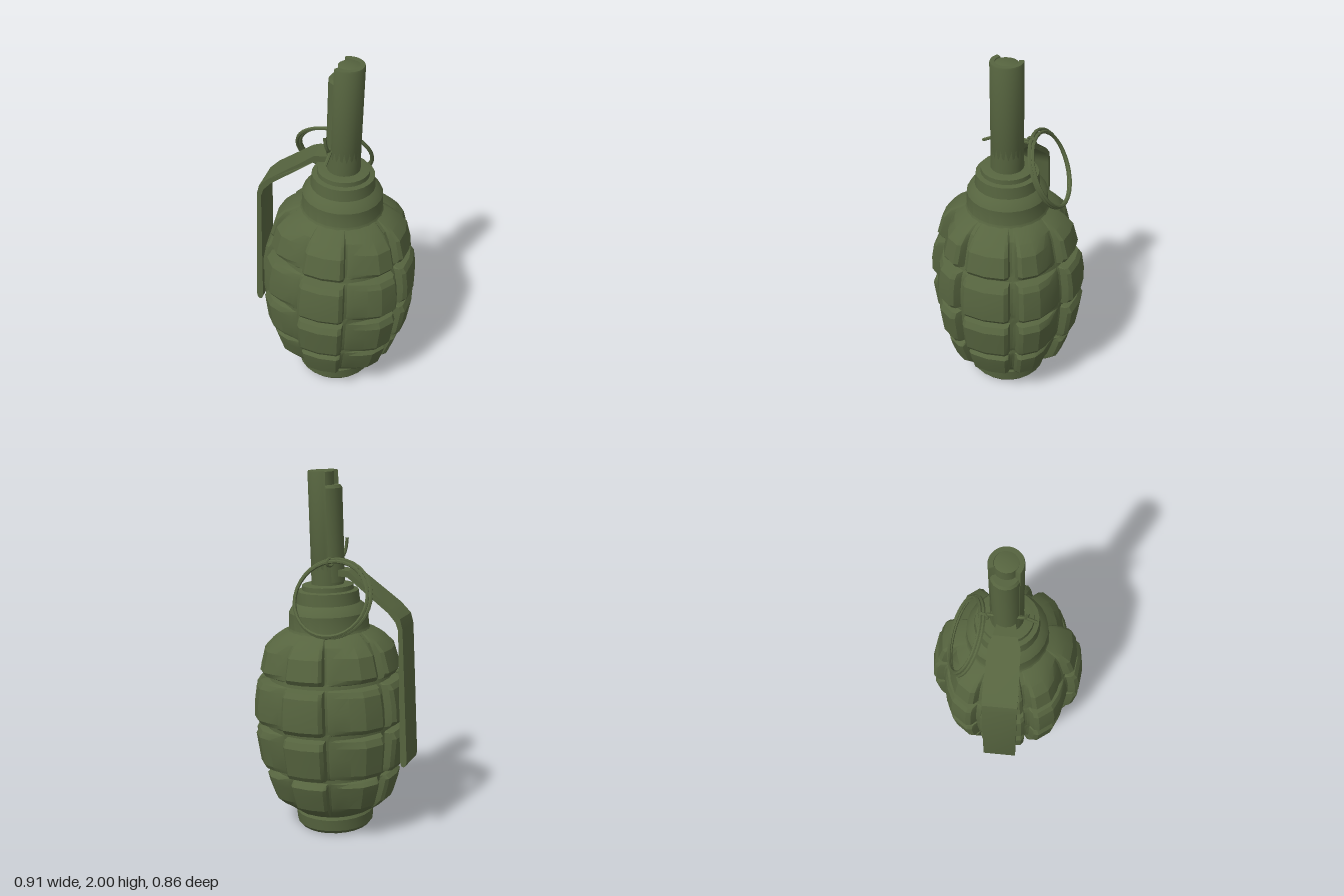
import * as THREE from 'three';
import { toCreasedNormals } from 'three/addons/utils/BufferGeometryUtils.js';

const V3 = (x, y, z) => new THREE.Vector3(x, y, z);
const rad = THREE.MathUtils.degToRad;

// Segmented shell: each row is [height, block radius, groove radius]
function shellGeometry() {
  const rows = [
    [0.1, 0.21, 0.21], [0.12, 0.25, 0.235], [0.155, 0.3, 0.265], [0.19, 0.338, 0.285],
    [0.28, 0.367, 0.315], [0.325, 0.377, 0.33], [0.345, 0.355, 0.335],
    [0.352, 0.335, 0.335], [0.372, 0.335, 0.335],
    [0.38, 0.395, 0.345], [0.405, 0.41, 0.355], [0.5, 0.422, 0.365], [0.565, 0.43, 0.37], [0.6, 0.412, 0.37],
    [0.61, 0.372, 0.372], [0.632, 0.372, 0.372],
    [0.64, 0.415, 0.37], [0.665, 0.433, 0.375], [0.75, 0.43, 0.372], [0.84, 0.415, 0.36], [0.868, 0.395, 0.35],
    [0.876, 0.345, 0.345], [0.896, 0.34, 0.34],
    [0.905, 0.375, 0.335], [0.93, 0.39, 0.33], [1.04, 0.36, 0.305], [1.09, 0.312, 0.283],
    [1.12, 0.265, 0.25], [1.14, 0.222, 0.222]
  ];
  // groove directions in degrees
  const grooves = [0, 47, 90, 137, 180, 230, 270, 315, 360];
  // block cross-sections: a full block, and one that slopes down into its first groove
  const full = [[0, 0], [0.05, 0.05], [0.09, 0.75], [0.16, 1], [0.5, 1], [0.84, 1], [0.91, 0.75], [0.95, 0.05]];
  const ramp = [[0, 0], [0.04, 0.08], [0.12, 0.2], [0.34, 0.6], [0.56, 1], [0.84, 1], [0.91, 0.75], [0.95, 0.05]];
  const mirror = s => [[0, 0], ...s.slice(1).reverse().map(([t, h]) => [1 - t, h])];
  const rampEnd = mirror(ramp);
  const sections = [rampEnd, full, ramp, full, rampEnd, full, ramp, full];
  const columns = [];
  sections.forEach((section, g) => {
    for (const [t, h] of section) columns.push([rad(THREE.MathUtils.lerp(grooves[g], grooves[g + 1], t)), h]);
  });
  const position = [], index = [], n = columns.length;
  rows.forEach(([y, outer, deep], i) => {
    columns.forEach(([a, h], j) => {
      const r = deep + (outer - deep) * h;
      position.push(r * Math.cos(a), y, r * Math.sin(a));
      if (i === rows.length - 1) return;
      const p = i * n + j, q = i * n + (j + 1) % n;
      index.push(p, p + n, q, q, p + n, q + n);
    });
  });
  const geo = new THREE.BufferGeometry();
  geo.setAttribute('position', new THREE.Float32BufferAttribute(position, 3));
  geo.setIndex(index);
  return geo;
}

export function createModel() {
  const model = new THREE.Group();
  model.name = 'grenadeProp';
  const olive = new THREE.MeshStandardMaterial({ color: 0x56643f });
  olive.name = 'olive green';

  const add = (parent, name, geo, crease = 0.5) => {
    const mesh = new THREE.Mesh(toCreasedNormals(geo, crease), olive);
    mesh.name = name;
    parent.add(mesh);
    return mesh;
  };
  const lathe = (pts, seg = 24) => new THREE.LatheGeometry(pts.map(p => new THREE.Vector2(...p)), seg);
  const wire = (pts, r, closed = false, seg = 12) =>
    new THREE.TubeGeometry(new THREE.CatmullRomCurve3(pts, closed), seg, r, 6, closed);

  // Body leans very slightly off vertical
  const body = new THREE.Group();
  body.name = 'body';
  body.position.set(0.007, 0.006, 0.012);
  body.rotation.set(-0.02, 0, -0.025);
  model.add(body);

  add(body, 'segmentedShell', shellGeometry(), 0.35);
  add(body, 'basePlug', lathe([[0, 0], [0.2, 0], [0.216, 0.02], [0.222, 0.085], [0.205, 0.11], [0, 0.11]]));
  add(body, 'neckCollar', lathe([
    [0.25, 1.1], [0.228, 1.135], [0.22, 1.15], [0.218, 1.235], [0.2, 1.265], [0.175, 1.285],
    [0.168, 1.35], [0.142, 1.355], [0.14, 1.38], [0.12, 1.385], [0, 1.385]
  ]));

  // Fuse tube with an open slot on the lever side
  add(body, 'fuseTubeBase', new THREE.CylinderGeometry(0.087, 0.09, 0.16, 20).translate(0, 1.44, 0));
  const arc = new THREE.Shape();
  const from = rad(-105), to = rad(135);
  arc.absarc(0, 0, 0.084, from, to, false);
  arc.absarc(0, 0, 0.06, to, from, true);
  arc.closePath();
  const sleeve = new THREE.ExtrudeGeometry(arc, {
    depth: 0.56, curveSegments: 16, bevelEnabled: true, bevelSize: 0.003, bevelThickness: 0.008, bevelSegments: 1
  });
  sleeve.rotateX(-Math.PI / 2).translate(0, 1.424, 0);
  add(body, 'fuseSleeve', sleeve);
  add(body, 'sleeveCap', lathe([[0.064, 1.9], [0.064, 1.985], [0.05, 1.991], [0, 1.991]], 16).translate(0.012, 0, -0.004));
  add(body, 'strikerRod', lathe([[0.075, 1.4], [0.075, 1.9], [0.065, 1.915], [0, 1.915]], 16)
    .translate(-0.022, 0, 0.006));

  // Safety lever: bent strip, narrowed where it meets the tube
  const top = [[0.06, 1.475], [0.14, 1.475], [0.19, 1.445], [0.39, 1.3], [0.445, 1.245], [0.46, 1.19],
    [0.497, 0.46], [0.492, 0.435], [0.482, 0.425]];
  const under = [[0.468, 0.428], [0.46, 0.45], [0.436, 1.18], [0.42, 1.225], [0.378, 1.272], [0.185, 1.412],
    [0.135, 1.44], [0.06, 1.44]];
  const strip = new THREE.Shape([...top, ...under].map(p => new THREE.Vector2(...p)));
  const leverGeo = new THREE.ExtrudeGeometry(strip, { depth: 0.185, bevelEnabled: false }).translate(0, 0, -0.0925);
  const pos = leverGeo.attributes.position;
  for (let i = 0; i < pos.count; i++) {
    const w = THREE.MathUtils.clamp(0.5 + (pos.getX(i) - 0.1) * 4.5, 0.5, 1);
    pos.setZ(i, pos.getZ(i) * w);
  }
  const lever = add(model, 'safetyLever', leverGeo);
  lever.position.set(0.04, 0, -0.012);
  lever.rotation.y = rad(-159.5);

  // Pull ring: two close loops of wire, tilted behind the neck
  const u = V3(-0.936, 0, 0.351).normalize();
  const v = V3(-0.14, -0.89, -0.4).normalize();
  [0.213, 0.203].forEach((r, k) => {
    const pts = [];
    for (let i = 0; i < 20; i++) {
      const a = i / 20 * Math.PI * 2;
      pts.push(V3(-0.132, 1.35, -0.164 - k * 0.014)
        .addScaledVector(u, r * Math.cos(a)).addScaledVector(v, r * Math.sin(a)));
    }
    add(model, 'pullRing', wire(pts, 0.01, true, 32), 0.9);
  });

  // Split pin through the tube, with an eye behind and two bent ends in front
  const eye = [];
  for (let i = 0; i < 8; i++) {
    const a = i / 8 * Math.PI * 2;
    eye.push(V3(-0.055, 1.525 + 0.02 * Math.sin(a), -0.1 + 0.025 * Math.cos(a)));
  }
  add(model, 'pinEye', wire(eye, 0.008, true, 16), 0.9);
  add(model, 'pinProngUp', wire([V3(-0.045, 1.53, -0.09), V3(0.0, 1.53, 0.03), V3(0.02, 1.53, 0.085), V3(0.018, 1.57, 0.105), V3(0.015, 1.63, 0.112)], 0.009), 0.9);
  add(model, 'pinProngOut', wire([V3(-0.04, 1.52, -0.09), V3(0.005, 1.525, 0.03), V3(0.025, 1.52, 0.08), V3(0.045, 1.485, 0.15)], 0.009), 0.9);
  return model;
}
